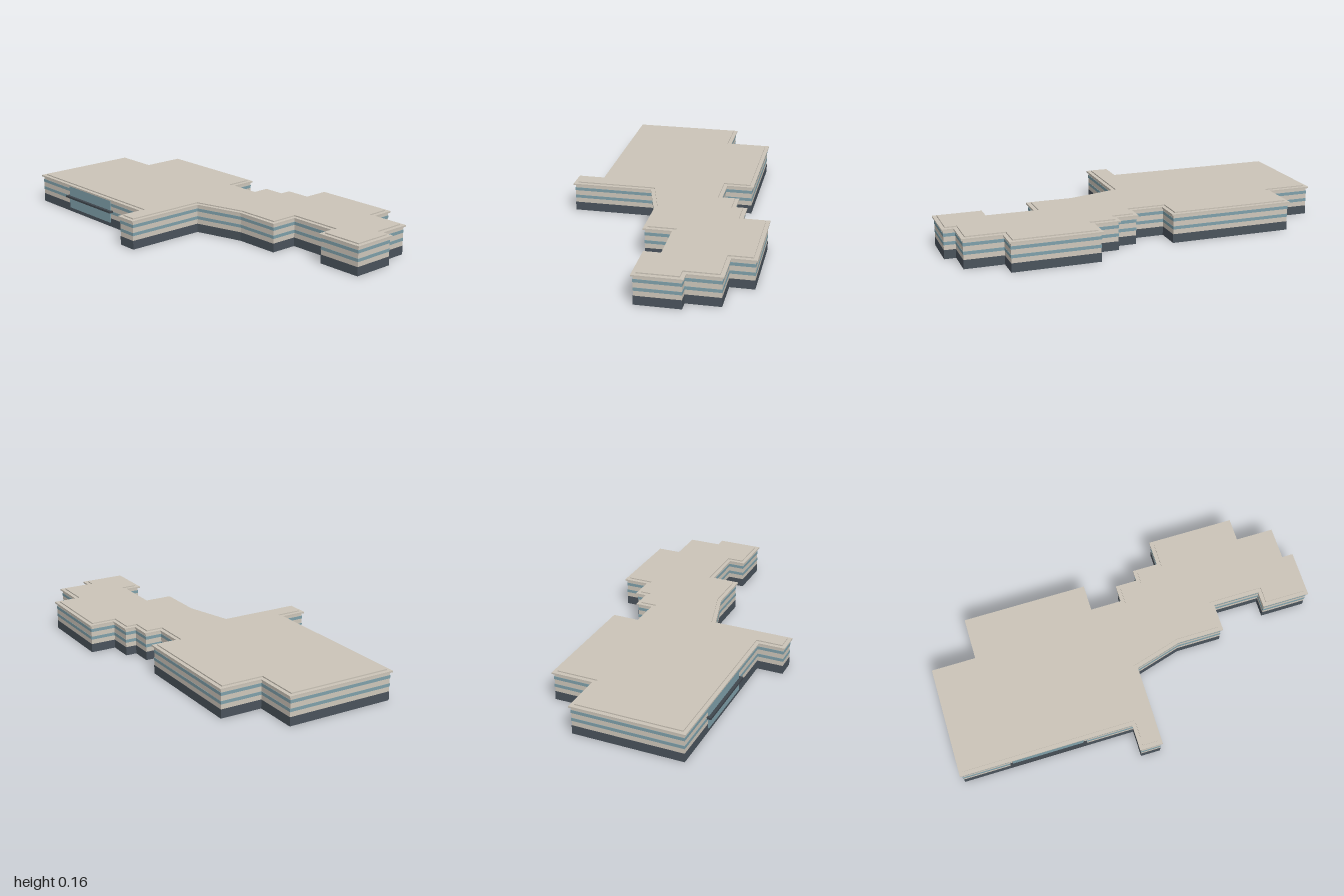
import * as THREE from 'three';

// Cornice outline in plan as (x, z), walked around the building
const OUTLINE = [
  [-1, -0.18], [-0.77, -0.18], [-0.77, -0.4], [-0.12, -0.4], [-0.12, -0.262], [0.042, -0.262],
  [0.042, -0.35], [0.155, -0.35], [0.155, -0.408], [0.288, -0.408], [0.288, -0.541], [0.745, -0.541],
  [0.745, -0.42], [0.942, -0.42], [0.942, -0.25], [1, -0.25], [1, -0.01], [0.75, -0.01],
  [0.75, -0.095], [0.505, -0.095], [0.505, 0.05], [0.262, 0.05], [0.017, 0.12], [0.017, 0.541],
  [-0.102, 0.541], [-0.102, 0.405], [-1, 0.405],
];

const material = (name, color) => {
  const m = new THREE.MeshStandardMaterial({ color });
  m.name = name;
  return m;
};

// Moves every side of the outline inward by d, with mitred corners
function inset(d) {
  const n = OUTLINE.length;
  return OUTLINE.map(([x, z], i) => {
    const [px, pz] = OUTLINE[(i + n - 1) % n];
    const [qx, qz] = OUTLINE[(i + 1) % n];
    const a = new THREE.Vector2(pz - z, x - px).normalize();
    const b = new THREE.Vector2(z - qz, qx - x).normalize();
    const k = d / (1 + a.dot(b));
    return new THREE.Vector2(x + (a.x + b.x) * k, -(z + (a.y + b.y) * k));
  });
}

// A storey-like slab between two heights; a second inset makes it a hollow ring
function slab(name, mat, y0, y1, outer, inner) {
  const shape = new THREE.Shape(inset(outer));
  if (inner !== undefined) shape.holes.push(new THREE.Path(inset(inner)));
  const geo = new THREE.ExtrudeGeometry(shape, { depth: y1 - y0, bevelEnabled: false });
  geo.rotateX(-Math.PI / 2).translate(0, y0, 0);
  const mesh = new THREE.Mesh(geo, mat);
  mesh.name = name;
  return mesh;
}

function box(name, mat, x0, x1, y0, y1, z0, z1) {
  const mesh = new THREE.Mesh(new THREE.BoxGeometry(x1 - x0, y1 - y0, z1 - z0), mat);
  mesh.position.set((x0 + x1) / 2, (y0 + y1) / 2, (z0 + z1) / 2);
  mesh.name = name;
  return mesh;
}

export function createModel() {
  const stone = material('warm stone', 0xcfc7bb);
  const roofing = material('roofing', 0xcbc4b8);
  const glass = material('blue glass', 0x7fa0aa);
  const slate = material('dark slate', 0x4a535c);
  const metal = material('canopy metal', 0x3f464d);

  const building = new THREE.Group();
  building.name = 'building';

  // Base and walls
  building.add(slab('plinth', slate, 0, 0.045, 0.008));
  building.add(slab('walls', stone, 0.045, 0.143, 0.009));

  // Two ribbon windows around the whole building
  building.add(slab('lowerWindowBand', glass, 0.07, 0.086, 0.0075, 0.0095));
  building.add(slab('upperWindowBand', glass, 0.112, 0.128, 0.0075, 0.0095));

  // Overhanging cornice and raised roof deck
  building.add(slab('cornice', roofing, 0.143, 0.151, 0));
  building.add(slab('roofDeck', roofing, 0.151, 0.157, 0.02));

  // Glazed entrance with a thin canopy
  building.add(box('entranceGlazing', glass, -0.73, -0.36, 0.022, 0.143, 0.394, 0.402));
  building.add(box('entranceCanopy', metal, -0.745, -0.342, 0.08, 0.09, 0.394, 0.418));

  return building;
}
